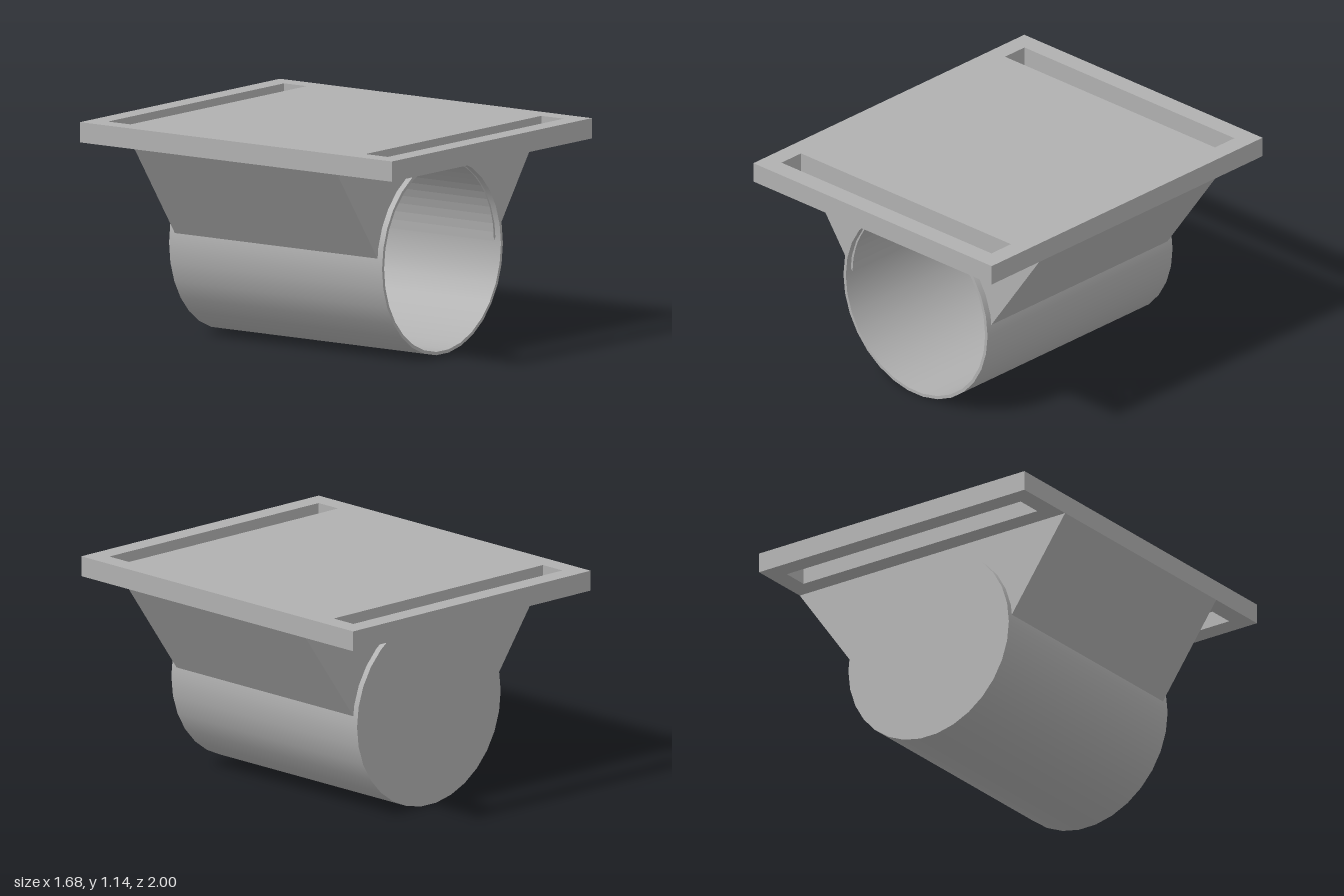
import * as THREE from 'three';

const grey = new THREE.MeshStandardMaterial({ color: 0xb0b0b0 });
grey.name = 'grey';

const PLATE_BOTTOM = 1.035, PLATE_TOP = 1.14;
const TUBE_Y = 0.506, OUTER_R = 0.508, INNER_R = 0.491, TUBE_HALF = 0.683;

function rectangle(Type, x0, y0, x1, y1) {
  return new Type([[x0, y0], [x1, y0], [x1, y1], [x0, y1]].map(p => new THREE.Vector2(...p)));
}

function addMesh(parent, name, geometry) {
  const mesh = new THREE.Mesh(geometry, grey);
  mesh.name = name;
  parent.add(mesh);
  return mesh;
}

export function createModel() {
  const model = new THREE.Group();
  model.name = 'strapMountCup';

  // Mounting plate with a strap slot near each end
  const plate = rectangle(THREE.Shape, -0.84, -1, 0.84, 1);
  for (const z of [-0.825, 0.825]) {
    plate.holes.push(rectangle(THREE.Path, -0.74, z - 0.072, 0.74, z + 0.072));
  }
  const plateGeometry = new THREE.ExtrudeGeometry(plate, { depth: PLATE_TOP - PLATE_BOTTOM, bevelEnabled: false });
  plateGeometry.rotateX(-Math.PI / 2).translate(0, PLATE_BOTTOM, 0);
  addMesh(model, 'mountingPlate', plateGeometry);

  // Tapered saddle, arched over the cup
  const saddle = new THREE.Shape();
  saddle.moveTo(0.84, PLATE_BOTTOM);
  saddle.lineTo(-0.84, PLATE_BOTTOM);
  saddle.lineTo(-0.475, 0.518);
  saddle.absarc(0, 0.518, 0.475, Math.PI, 0, true);
  saddle.closePath();
  const saddleGeometry = new THREE.ExtrudeGeometry(saddle, { depth: 1.3, bevelEnabled: false, curveSegments: 16 });
  saddleGeometry.translate(0, 0, -0.65);
  addMesh(model, 'saddle', saddleGeometry);

  // Round cup, open at the front and closed at the back; separate bands keep rims sharp
  const cup = new THREE.Group();
  cup.name = 'cup';
  cup.position.y = TUBE_Y;
  model.add(cup);
  const floor = -TUBE_HALF + 0.017;
  const profile = [
    [0, -TUBE_HALF], [OUTER_R, -TUBE_HALF], [OUTER_R, TUBE_HALF],
    [INNER_R, TUBE_HALF], [INNER_R, floor], [0, floor],
  ].map(p => new THREE.Vector2(...p));
  ['cupBack', 'cupOuterWall', 'cupRim', 'cupInnerWall', 'cupFloor'].forEach((name, i) => {
    const band = new THREE.LatheGeometry([profile[i], profile[i + 1]], 30, Math.PI / 2);
    addMesh(cup, name, band.rotateX(Math.PI / 2));
  });

  return model;
}
